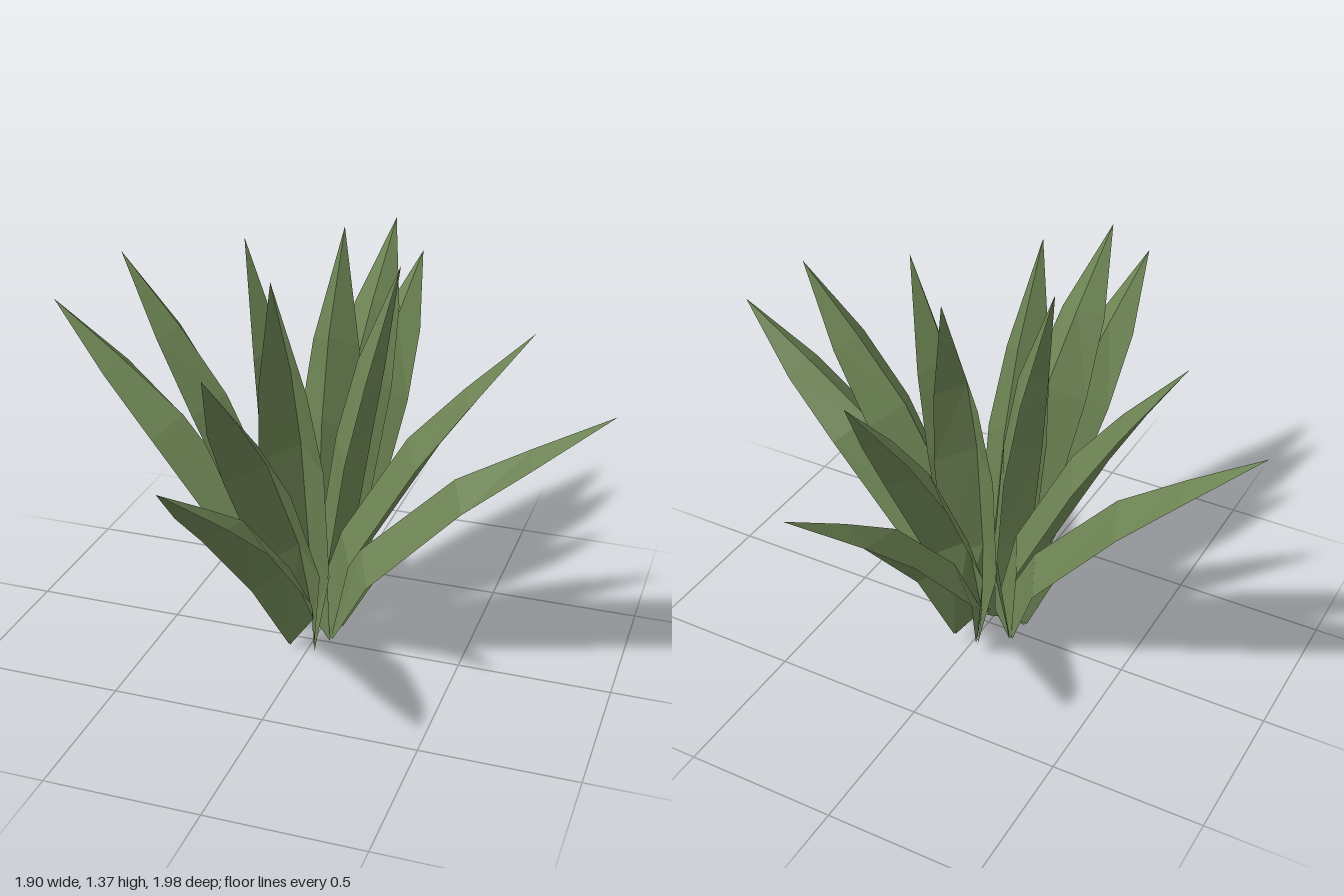
import * as THREE from 'three';

const material = new THREE.MeshStandardMaterial({
  color: 0x6b8252, flatShading: true, side: THREE.DoubleSide,
});

// Half width of a leaf at each of its sections, base to tip
const HALF_WIDTH = [0.045, 0.105, 0.111, 0.08, 0];

// Side profiles as [distance out, height], base to tip: upper ridge and lower edges.
// On raised fans, lift raises the tip and pull draws it inward.
const TIERS = [
  { name: 'outerLeaf', lift: 0.09, pull: 0,
    ridge: [[-0.02, 0.06], [0.16, 0.35], [0.47, 0.67], [0.71, 0.825], [0.96, 0.98]],
    edge: [[0.08, 0.01], [0.22, 0.27], [0.53, 0.61], [0.73, 0.785], [0.96, 0.98]] },
  { name: 'middleLeaf', lift: 0.07, pull: 0.01,
    ridge: [[-0.02, 0.06], [0.09, 0.4], [0.31, 0.78], [0.49, 0.985], [0.7, 1.2]],
    edge: [[0.075, 0.01], [0.16, 0.34], [0.38, 0.73], [0.53, 0.955], [0.7, 1.2]] },
  { name: 'innerLeaf', lift: 0.02, pull: 0.03,
    ridge: [[-0.02, 0.06], [0.01, 0.34], [0.07, 0.75], [0.14, 1.02], [0.275, 1.35]],
    edge: [[0.07, 0], [0.085, 0.3], [0.145, 0.7], [0.2, 0.98], [0.275, 1.35]] },
];

// Four fans of leaves; y and shift move the roots up and outward, lift raises the tips
const FANS = [
  { name: 'leftLeaves', angle: 0, x: 0, z: -0.02, y: 0.025, shift: 0, lift: 0, reach: 1 },
  { name: 'backLeaves', angle: Math.PI / 2, x: -0.005, z: 0, y: 0.03, shift: 0.07, lift: 1, reach: 1.035 },
  { name: 'rightLeaves', angle: Math.PI, x: 0, z: -0.025, y: 0.035, shift: 0.06, lift: 1, reach: 0.99 },
  { name: 'frontLeaves', angle: -Math.PI / 2, x: -0.015, z: 0, y: 0, shift: -0.01, lift: 0.2, reach: 1.035 },
];
const TWIST = 0.084;

// A folded leaf: each section is edge, ridge, edge
function leafGeometry(tier, fan) {
  const positions = [], index = [];
  const last = HALF_WIDTH.length - 1;
  HALF_WIDTH.forEach((w, i) => {
    const t = i / last;
    const put = ([r, y], z) => positions.push(
      r * fan.reach + fan.shift * (1 - t) ** 2 - tier.pull * fan.lift * t,
      y + fan.y * (1 - t) + tier.lift * fan.lift * t, z);
    put(tier.edge[i], -w);
    put(tier.ridge[i], 0);
    put(tier.edge[i], w);
  });
  for (let i = 0; i < last; i++) {
    for (let j = 0; j < 2; j++) {
      const a = i * 3 + j, b = a + 1, c = a + 3, d = a + 4;
      index.push(a, b, c);
      // The last row closes to a point
      if (i < last - 1) index.push(b, d, c);
    }
  }
  const geometry = new THREE.BufferGeometry();
  geometry.setAttribute('position', new THREE.Float32BufferAttribute(positions, 3));
  geometry.setIndex(index);
  const flat = geometry.toNonIndexed();
  flat.computeVertexNormals();
  return flat;
}

export function createModel() {
  const plant = new THREE.Group();
  plant.name = 'spikyPlant';
  for (const fan of FANS) {
    const group = new THREE.Group();
    group.name = fan.name;
    group.position.set(fan.x, 0, fan.z);
    group.rotation.y = fan.angle - TWIST;
    for (const tier of TIERS) {
      const leaf = new THREE.Mesh(leafGeometry(tier, fan), material);
      leaf.name = tier.name;
      group.add(leaf);
    }
    plant.add(group);
  }
  return plant;
}
